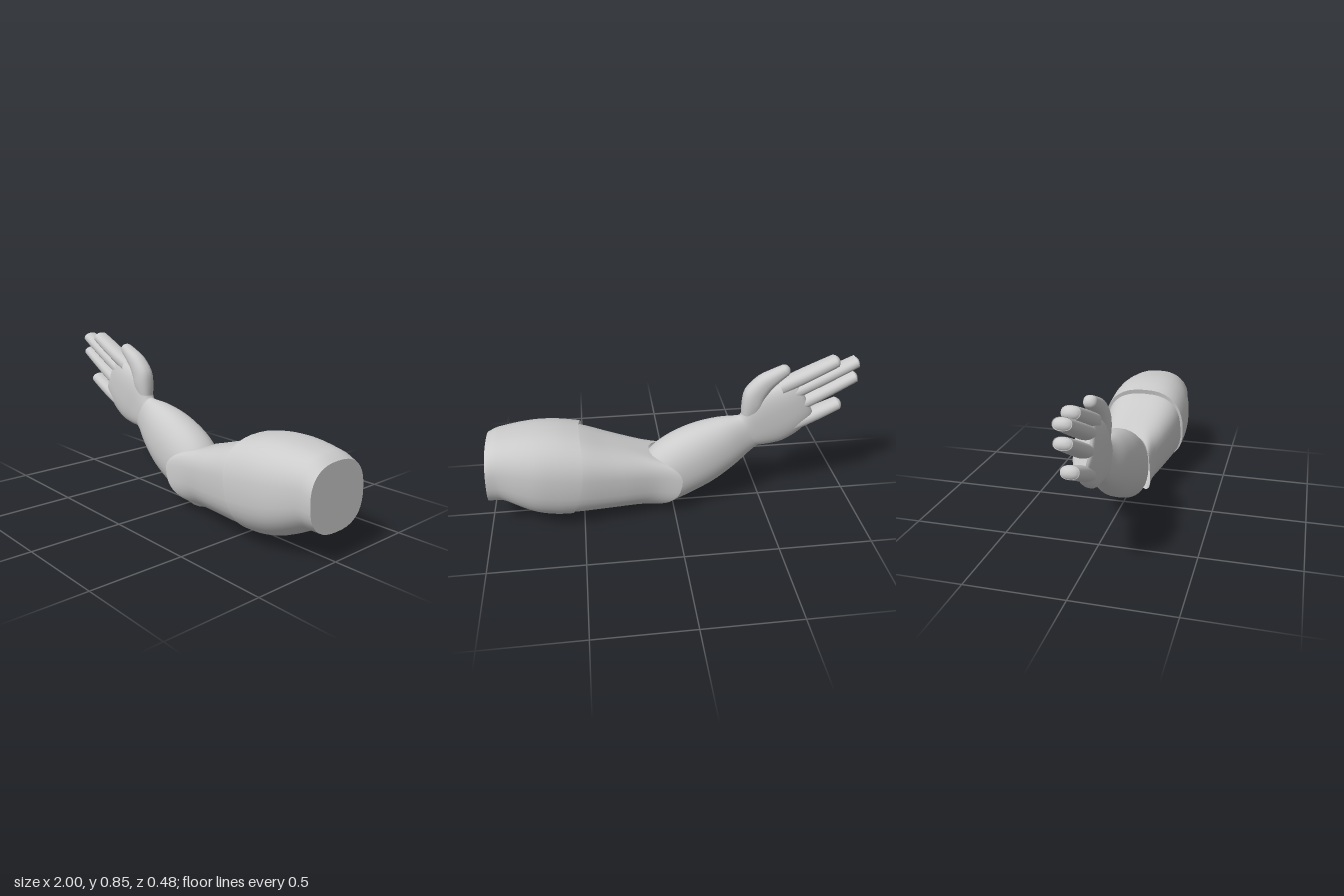
import * as THREE from 'three';

const material = new THREE.MeshStandardMaterial({ color: 0xcccccc, side: THREE.DoubleSide });
const SIDES = 40;

// Catmull-Rom blend of whole rows of numbers
function smoothRows(rows, steps) {
  const out = [];
  const last = rows.length - 1;
  for (let i = 0; i < last; i++) {
    const [p, a, b, q] = [rows[Math.max(i - 1, 0)], rows[i], rows[i + 1], rows[Math.min(i + 2, last)]];
    for (let k = 0; k < steps; k++) {
      const t = k / steps;
      out.push(a.map((_, c) => {
        const m0 = (b[c] - p[c]) / 2, m1 = (q[c] - a[c]) / 2, d = b[c] - a[c];
        return a[c] + t * (m0 + t * (3 * d - 2 * m0 - m1 + t * (m0 + m1 - 2 * d)));
      }));
    }
  }
  out.push(rows[last]);
  return out;
}

// Skin over cross-sections: [top x, top y, bottom x, bottom y, half depth, bow]
// bow pulls the sides of a section towards -x; n is the squareness of the section
function loft(name, rows, { n = 2.4, steps = 5, capStart = false, capEnd = false } = {}) {
  const position = [], index = [];
  const power = (v) => Math.sign(v) * Math.abs(v) ** (2 / n);
  const addRing = ([tx, ty, bx, by, w, bow = 0]) => {
    const start = position.length / 3;
    for (let j = 0; j < SIDES; j++) {
      const angle = (j / SIDES) * Math.PI * 2;
      const c = Math.cos(angle), s = Math.sin(angle), u = power(c);
      const pull = bow * Math.abs(s) ** (c < 0 ? 1 : 2);
      position.push(
        (tx + bx) / 2 + u * (tx - bx) / 2 - pull,
        (ty + by) / 2 + u * (ty - by) / 2,
        w * power(s));
    }
    return start;
  };
  const addCap = (row, flip) => {
    const ring = addRing(row);
    const centre = position.length / 3;
    position.push((row[0] + row[2]) / 2, (row[1] + row[3]) / 2, 0);
    for (let j = 0; j < SIDES; j++) {
      const a = ring + j, b = ring + (j + 1) % SIDES;
      index.push(centre, flip ? b : a, flip ? a : b);
    }
  };

  const full = rows.map((r) => [...r, 0].slice(0, 6));
  const sections = smoothRows(full, steps);
  const rings = sections.map(addRing);
  for (let i = 0; i < rings.length - 1; i++) {
    for (let j = 0; j < SIDES; j++) {
      const k = (j + 1) % SIDES;
      const a = rings[i] + j, b = rings[i] + k, c = rings[i + 1] + j, d = rings[i + 1] + k;
      index.push(a, b, c, b, d, c);
    }
  }
  if (capStart) addCap(sections[0], true);
  if (capEnd) addCap(sections[sections.length - 1], false);

  const geometry = new THREE.BufferGeometry();
  geometry.setAttribute('position', new THREE.Float32BufferAttribute(position, 3));
  geometry.setIndex(index);
  geometry.computeVertexNormals();
  const mesh = new THREE.Mesh(geometry, material);
  mesh.name = name;
  return mesh;
}

// Digit along a path of [x, y, radius, half depth], closed with a rounded tip
function digit(name, path) {
  const points = path.map((p) => [...p]);
  const [ax, ay] = path[path.length - 2];
  const [x, y, r, w] = path[path.length - 1];
  const length = Math.hypot(x - ax, y - ay);
  const dx = (x - ax) / length, dy = (y - ay) / length;
  for (const deg of [25, 45, 65, 80, 89]) {
    const a = THREE.MathUtils.degToRad(deg);
    points.push([x + dx * r * Math.sin(a), y + dy * r * Math.sin(a), r * Math.cos(a), w * Math.cos(a)]);
  }
  const rows = points.map(([px, py, pr, pw], i) => {
    const a = points[Math.max(i - 1, 0)], b = points[Math.min(i + 1, points.length - 1)];
    const d = Math.hypot(b[0] - a[0], b[1] - a[1]);
    const ux = -(b[1] - a[1]) / d * pr, uy = (b[0] - a[0]) / d * pr;
    return [px + ux, py + uy, px - ux, py - uy, pw];
  });
  return loft(name, rows, { n: 2.3, steps: 3, capEnd: true });
}

export function createModel() {
  const arm = new THREE.Group();
  arm.name = 'arm';

  // Barrel-shaped shoulder piece with a curved rim and a flat end
  arm.add(loft('shoulder', [
    [0.50, 0.51, 0.60, 0.04, 0.24, 0.045],
    [0.60, 0.53, 0.66, 0.043, 0.242, 0.02],
    [0.70, 0.537, 0.74, 0.062, 0.238],
    [0.80, 0.532, 0.82, 0.095, 0.222],
    [0.91, 0.517, 0.91, 0.142, 0.195],
    [0.95, 0.505, 0.95, 0.148, 0.188],
    [0.985, 0.485, 0.997, 0.15, 0.187],
  ], { n: 2.5, capStart: true, capEnd: true }));

  // Upper arm shell, open at the elbow, with a flap reaching out on each side
  arm.add(loft('upperArm', [
    [0.13, 0.355, 0.20, 0.035, 0.157, 0.20],
    [0.24, 0.392, 0.28, 0.038, 0.152, 0.16],
    [0.36, 0.432, 0.40, 0.045, 0.187, 0.10],
    [0.50, 0.482, 0.56, 0.05, 0.224, 0.04],
    [0.60, 0.50, 0.64, 0.06, 0.225, 0.02],
  ], { n: 2.7, steps: 6 }));

  // Forearm, thin at the wrist and rounded off inside the elbow
  arm.add(loft('forearm', [
    [-0.385, 0.535, -0.49, 0.35, 0.045],
    [-0.35, 0.527, -0.44, 0.315, 0.06],
    [-0.25, 0.518, -0.35, 0.235, 0.098],
    [-0.12, 0.487, -0.23, 0.145, 0.127],
    [0.00, 0.435, -0.09, 0.07, 0.136],
    [0.09, 0.375, 0.00, 0.028, 0.13],
    [0.15, 0.31, 0.08, 0.003, 0.11],
    [0.19, 0.25, 0.14, 0.02, 0.075],
    [0.20, 0.17, 0.18, 0.09, 0.025],
  ], { n: 2.2, capStart: true, capEnd: true }));

  const hand = new THREE.Group();
  hand.name = 'hand';
  arm.add(hand);

  // Palm, from knuckles to wrist
  hand.add(loft('palm', [
    [-0.67, 0.72, -0.78, 0.515, 0.03],
    [-0.645, 0.728, -0.765, 0.49, 0.048],
    [-0.57, 0.705, -0.70, 0.42, 0.056],
    [-0.47, 0.665, -0.62, 0.368, 0.057],
    [-0.40, 0.60, -0.55, 0.35, 0.052],
    [-0.37, 0.53, -0.465, 0.343, 0.05],
    [-0.34, 0.51, -0.42, 0.34, 0.045],
  ], { n: 2.5, capStart: true, capEnd: true }));

  // Four fingers: base x, y, tip x, y, radius
  const fingers = {
    indexFinger: [-0.58, 0.69, -0.86, 0.822, 0.034],
    middleFinger: [-0.60, 0.63, -0.968, 0.81, 0.032],
    ringFinger: [-0.62, 0.545, -0.968, 0.725, 0.032],
    littleFinger: [-0.64, 0.452, -0.895, 0.567, 0.034],
  };
  for (const [name, [bx, by, tx, ty, r]] of Object.entries(fingers)) {
    const mid = (a, b) => (a + b) / 2;
    hand.add(digit(name, [
      [bx, by, r * 1.15, 0.046],
      [mid(bx, tx), mid(by, ty), r * 1.08, 0.05],
      [tx, ty, r * 0.95, 0.045],
    ]));
  }

  // Thumb, curving up from the wrist
  hand.add(digit('thumb', [
    [-0.42, 0.53, 0.045, 0.04],
    [-0.435, 0.60, 0.06, 0.05],
    [-0.448, 0.66, 0.062, 0.05],
    [-0.495, 0.72, 0.052, 0.046],
    [-0.55, 0.758, 0.04, 0.04],
    [-0.595, 0.785, 0.032, 0.034],
  ]));

  return arm;
}
